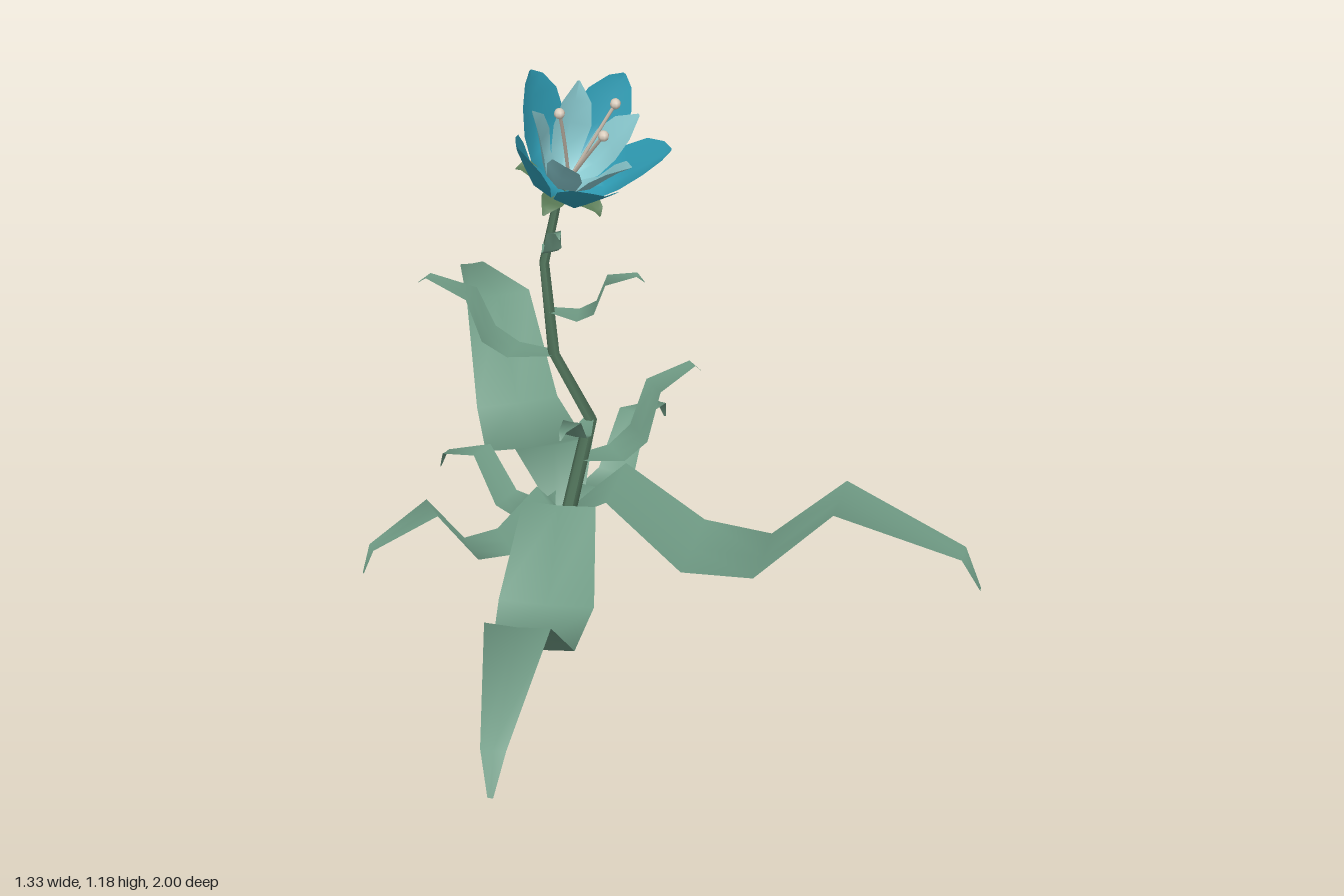
import * as THREE from 'three';

const paint = (color) => new THREE.MeshStandardMaterial({ color, side: THREE.DoubleSide });
const green = paint(0x6f9a84), stemGreen = paint(0x55795f), sepalGreen = paint(0x5c7d58);
const blue = paint(0x2f9db5), paleBlue = paint(0x8ccdd3), cream = paint(0xd8cbbb);

// Blade growing along +z from rows of [distance, height, width]; cup pushes the midrib down
function blade(rows, cup) {
  const pos = [], index = [];
  rows.forEach(([d, y, w], i) => {
    const a = rows[Math.max(i - 1, 0)], b = rows[Math.min(i + 1, rows.length - 1)];
    const dd = b[0] - a[0], dy = b[1] - a[1], len = Math.hypot(dd, dy) || 1;
    for (const c of [-1, 0, 1]) {
      const sink = c === 0 ? cup * w : 0;
      pos.push(c * w / 2, y - sink * dd / len, d + sink * dy / len);
    }
    if (i === 0) return;
    for (const c of [0, 1]) {
      const p = (i - 1) * 3 + c, q = p + 3;
      index.push(p, q, p + 1, p + 1, q, q + 1);
    }
  });
  const g = new THREE.BufferGeometry();
  g.setAttribute('position', new THREE.Float32BufferAttribute(pos, 3));
  g.setIndex(index);
  g.computeVertexNormals();
  return g;
}

function addMesh(parent, name, geometry, material) {
  const m = new THREE.Mesh(geometry, material);
  m.name = name;
  parent.add(m);
  return m;
}

// Leaf from a base point to a tip (x, z), with a profile scaled to its length
function addLeaf(parent, name, profile, base, tip, rise, width) {
  const dx = tip[0] - base[0], dz = tip[1] - base[2], len = Math.hypot(dx, dz);
  const rows = profile.map(([t, y, w]) => [t * len, y * rise, w * width]);
  const m = addMesh(parent, name, blade(rows, 0.03), green);
  m.position.set(...base);
  m.rotation.y = Math.atan2(dx, dz);
}

const GROUND_LEAF = [[0, 0.05, 0.06], [0.12, 0.155, 0.17], [0.31, 0.015, 0.22], [0.48, 0.02, 0.185],
  [0.66, 0.215, 0.145], [0.955, 0.12, 0.055], [1, 0.03, 0.012]];
const STEM_LEAF = [[0, 0, 0.03], [0.3, -0.015, 0.07], [0.48, 0.015, 0.075], [0.6, 0.115, 0.06],
  [0.92, 0.14, 0.025], [1, 0.115, 0.004]];
const OUTER_PETAL = [[0.015, 0, 0.035], [0.07, 0.035, 0.095], [0.1, 0.1, 0.125], [0.135, 0.155, 0.105],
  [0.165, 0.188, 0.055], [0.18, 0.2, 0.006]];
const INNER_PETAL = [[0.01, 0.01, 0.03], [0.05, 0.05, 0.07], [0.07, 0.11, 0.085], [0.095, 0.16, 0.065],
  [0.125, 0.195, 0.006]];
const SEPAL = [[0.008, -0.015, 0.025], [0.04, -0.005, 0.055], [0.075, 0.015, 0.05], [0.1, 0.015, 0.025],
  [0.11, 0, 0.004]];

export function createModel() {
  const model = new THREE.Group();

  // Rosette: three large and three small ground leaves
  const rosette = new THREE.Group();
  rosette.name = 'rosette';
  model.add(rosette);
  const root = [-0.17, 0, 0.1];
  for (const [x, z, rise, width] of [
    [-0.175, -1, 1, 1.1], [0.66, 0.595, 1, 0.97], [-0.55, 1, 1, 0.98],
    [-0.665, 0.175, 0.72, 0.5], [0.165, -0.275, 0.62, 0.5], [-0.41, -0.205, 0.55, 0.42],
  ]) addLeaf(rosette, 'groundLeaf', GROUND_LEAF, root, [x, z], rise, width);

  // Stem: a tapered six-sided column bent along a zigzag path
  const path = [[-0.175, 0.04, 0.11], [-0.12, 0.315, 0.12], [-0.205, 0.51, 0.13],
    [-0.213, 0.72, 0.085], [-0.178, 0.935, 0.115]];
  const stem = new THREE.CylinderGeometry(0.009, 0.018, 1, 6, path.length - 1);
  const p = stem.attributes.position;
  for (let i = 0; i < p.count; i++) {
    const [x, y, z] = path[Math.round((p.getY(i) + 0.5) * (path.length - 1))];
    p.setXYZ(i, p.getX(i) + x, y, p.getZ(i) + z);
  }
  stem.computeVertexNormals();
  addMesh(model, 'stem', stem, stemGreen);

  // Leaves along the stem
  const stemLeaves = new THREE.Group();
  stemLeaves.name = 'stemLeaves';
  model.add(stemLeaves);
  for (const [base, tip, rise, width] of [
    [[-0.145, 0.21, 0.118], [0.165, 0.04], 1.18, 1.1],
    [[-0.122, 0.32, 0.12], [-0.23, 0.29], 0.55, 0.7],
    [[-0.205, 0.51, 0.13], [-0.47, -0.065], 0.95, 1],
    [[-0.208, 0.61, 0.108], [-0.01, 0.18], 0.72, 0.8],
    [[-0.21, 0.77, 0.09], [-0.2, 0.18], 0.5, 0.55],
    [[-0.183, 0.9, 0.11], [-0.14, 0.15], 0.1, 0.25],
  ]) addLeaf(stemLeaves, 'stemLeaf', STEM_LEAF, base, tip, rise, width);

  // Flower head leaning forward
  const flower = new THREE.Group();
  flower.name = 'flower';
  flower.position.set(-0.172, 0.93, 0.115);
  const axis = new THREE.Vector3(0.18, 0.88, 0.44).normalize();
  flower.quaternion.setFromUnitVectors(new THREE.Vector3(0, 1, 0), axis);
  model.add(flower);
  const whorls = [['outerPetal', OUTER_PETAL, 0.2, blue, 0],
    ['innerPetal', INNER_PETAL, 0.18, paleBlue, 0.5], ['sepal', SEPAL, 0.12, sepalGreen, 0.5]];
  for (const [name, rows, cup, material, shift] of whorls) {
    const geometry = blade(rows, cup);
    for (let i = 0; i < 5; i++) {
      addMesh(flower, name, geometry, material).rotation.y = (i + shift) * Math.PI * 0.4;
    }
  }
  addMesh(flower, 'receptacle', new THREE.CylinderGeometry(0.024, 0.011, 0.035, 6), sepalGreen);

  // Stamens: curved filaments with round anthers
  const start = new THREE.Vector3(-0.165, 0.94, 0.125);
  for (const t of [[-0.21, 1.165, 0.24], [-0.13, 1.13, 0.295], [-0.075, 1.14, 0.18]]) {
    const end = new THREE.Vector3(...t);
    const bend = start.clone().lerp(end, 0.5).addScaledVector(axis, 0.012);
    const curve = new THREE.QuadraticBezierCurve3(start, bend, end);
    addMesh(model, 'filament', new THREE.TubeGeometry(curve, 5, 0.004, 5), cream);
    addMesh(model, 'anther', new THREE.SphereGeometry(0.012, 8, 6), cream).position.copy(end);
  }
  return model;
}
